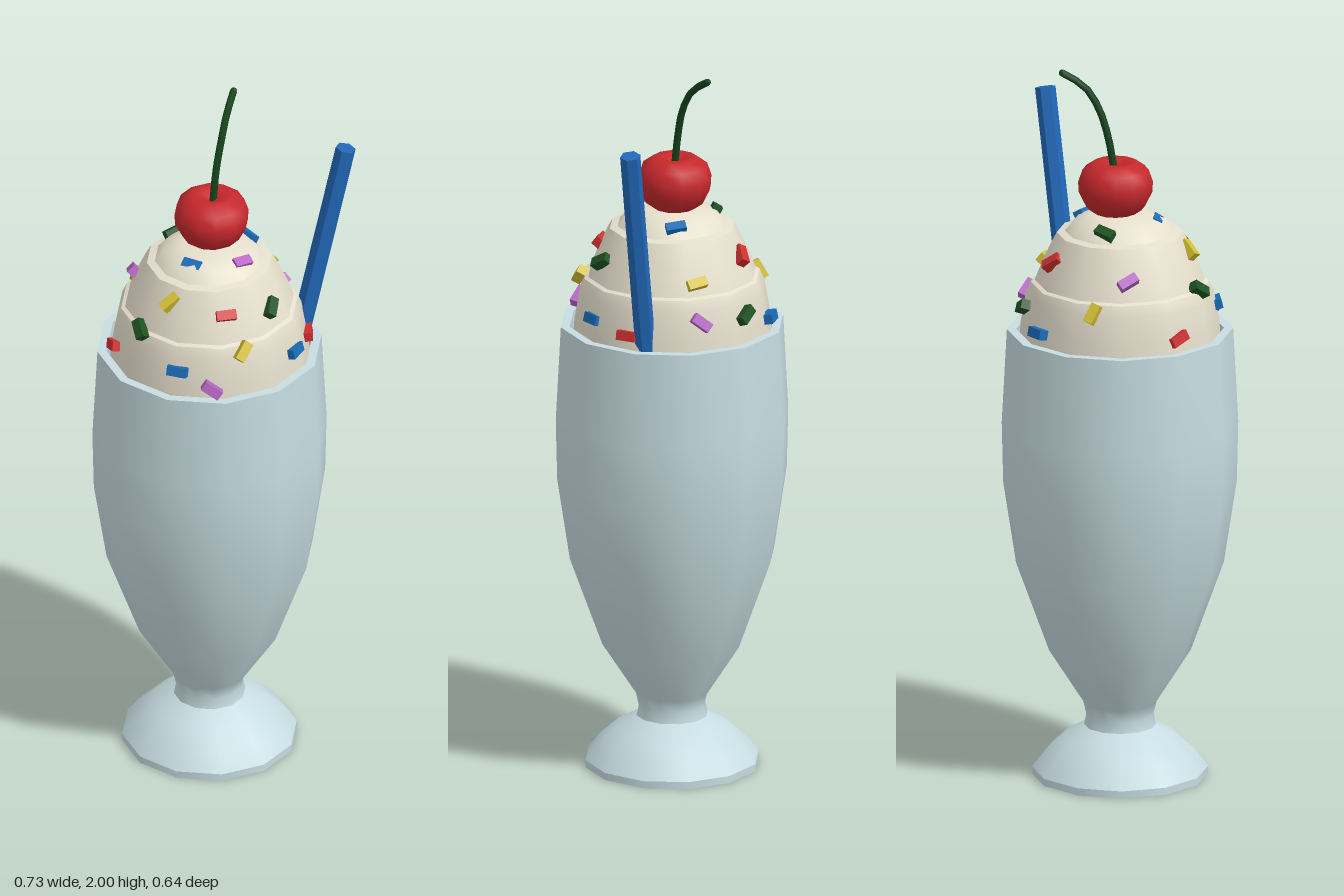
import * as THREE from 'three';

const mat = (name, color, extra = {}) => {
  const m = new THREE.MeshStandardMaterial({ color, ...extra });
  m.name = name;
  return m;
};

export function createModel() {
  const model = new THREE.Group();
  model.name = 'milkshake';
  const CX = -0.042; // axis of the glass

  const glass = mat('pale glass', 0xc6dce1);
  const cream = mat('cream', 0xe6dfcd);
  const red = mat('cherry red', 0xc6282c);
  const stemGreen = mat('stem green', 0x15441c);
  const straw = mat('straw blue', 0x2168b8, { flatShading: true });
  const sprinkle = {
    r: mat('sprinkle red', 0xcf3030),
    g: mat('sprinkle green', 0x1f5222),
    b: mat('sprinkle blue', 0x1a6cb8),
    y: mat('sprinkle yellow', 0xd3c035),
    p: mat('sprinkle purple', 0xb666c4),
  };

  const add = (parent, name, geometry, material, x = 0, y = 0, z = 0) => {
    const mesh = new THREE.Mesh(geometry, material);
    mesh.name = name;
    mesh.position.set(x, y, z);
    parent.add(mesh);
    return mesh;
  };
  // Each profile is smooth; a new profile starts a sharp edge
  const lathes = (name, profiles, material, x, y, z) => {
    const group = new THREE.Group();
    group.name = name;
    group.position.set(x, y, z);
    profiles.forEach((p, i) => add(group, `${name}Band${i + 1}`,
      new THREE.LatheGeometry(p.map(([r, h]) => new THREE.Vector2(r, h)), 12), material));
    model.add(group);
  };

  // Footed glass with a flat rim
  lathes('glass', [
    [[0, 0], [0.24, 0]],
    [[0.24, 0], [0.24, 0.02]],
    [[0.24, 0.02], [0.205, 0.065], [0.155, 0.11], [0.098, 0.14]],
    [[0.098, 0.14], [0.092, 0.17], [0.1, 0.205], [0.193, 0.35], [0.283, 0.6],
      [0.318, 0.83], [0.322, 1.0], [0.308, 1.265]],
    [[0.308, 1.265], [0.283, 1.265]],
    [[0.283, 1.265], [0.283, 1.18]],
  ], glass, CX, 0, 0);

  // Whipped cream in three tiers
  lathes('cream', [
    [[0.278, 1.19], [0.27, 1.29], [0.256, 1.37], [0.243, 1.4]],
    [[0.243, 1.4], [0.232, 1.405]],
    [[0.232, 1.405], [0.215, 1.45], [0.188, 1.51], [0.172, 1.54]],
    [[0.172, 1.54], [0.15, 1.545]],
    [[0.15, 1.545], [0.125, 1.575], [0.08, 1.595], [0, 1.6]],
  ], cream, CX, 0, 0);

  // Cherry with a dimple on top
  lathes('cherry', [
    [[0, -0.08], [0.045, -0.075], [0.08, -0.05], [0.1, -0.01], [0.102, 0.02],
      [0.09, 0.055], [0.06, 0.076], [0.035, 0.076], [0, 0.055]],
  ], red, -0.035, 1.662, -0.01);

  // Curved cherry stem
  const stemCurve = new THREE.CatmullRomCurve3([
    [-0.032, 1.7, -0.01], [-0.02, 1.81, -0.025], [-0.003, 1.89, -0.045],
    [0.016, 1.95, -0.078], [0.043, 1.99, -0.132],
  ].map(p => new THREE.Vector3(...p)));
  add(model, 'stem', new THREE.TubeGeometry(stemCurve, 8, 0.01, 6), stemGreen);
  add(model, 'stemTip', new THREE.SphereGeometry(0.01, 6, 4), stemGreen, 0.043, 1.99, -0.132);

  // Six-sided straw leaning to the side
  const bottom = new THREE.Vector3(0.187, 1.17, -0.011);
  const top = new THREE.Vector3(0.334, 1.856, -0.011);
  const strawMesh = add(model, 'straw',
    new THREE.CylinderGeometry(0.028, 0.028, top.distanceTo(bottom), 6).rotateY(Math.PI / 6), straw);
  strawMesh.position.copy(bottom).add(top).multiplyScalar(0.5);
  strawMesh.rotation.z = -Math.atan2(top.x - bottom.x, top.y - bottom.y);

  // Sprinkles: colour, x, y, z, spin in degrees on the cream surface
  const sprinkles = new THREE.Group();
  sprinkles.name = 'sprinkles';
  model.add(sprinkles);
  [
    ['b', -0.065, 1.3, -0.275, 0], ['g', 0.058, 1.34, -0.247, 30],
    ['y', -0.213, 1.38, -0.19, 70], ['r', -0.026, 1.48, -0.205, 50],
    ['y', 0.134, 1.44, -0.133, 10], ['p', 0.178, 1.345, -0.162, -40],
    ['p', -0.237, 1.46, -0.092, 30], ['g', -0.125, 1.57, -0.097, -20],
    ['b', 0.07, 1.57, -0.05, 10], ['r', -0.307, 1.3, 0.025, 20],
    ['g', -0.25, 1.41, 0.127, -40], ['y', -0.17, 1.5, 0.142, 60],
    ['b', -0.1, 1.572, 0.08, 0], ['p', 0.034, 1.572, 0.084, -15],
    ['r', 0.221, 1.3, 0.037, 0], ['g', 0.105, 1.465, 0.152, 40],
    ['b', 0.17, 1.32, 0.152, 0], ['r', -0.025, 1.48, 0.2, 0],
    ['y', 0.016, 1.39, 0.245, 50], ['b', -0.163, 1.335, 0.234, 0],
    ['p', -0.075, 1.295, 0.279, -35],
  ].forEach(([c, x, y, z, spin]) => {
    const box = add(sprinkles, 'sprinkle', new THREE.BoxGeometry(0.055, 0.027, 0.027), sprinkle[c], x, y, z);
    const tilt = 0.15 + (y - 1.28) * 3;
    box.rotation.set(-tilt, Math.atan2(x - CX, z), THREE.MathUtils.degToRad(spin), 'YXZ');
  });

  return model;
}
